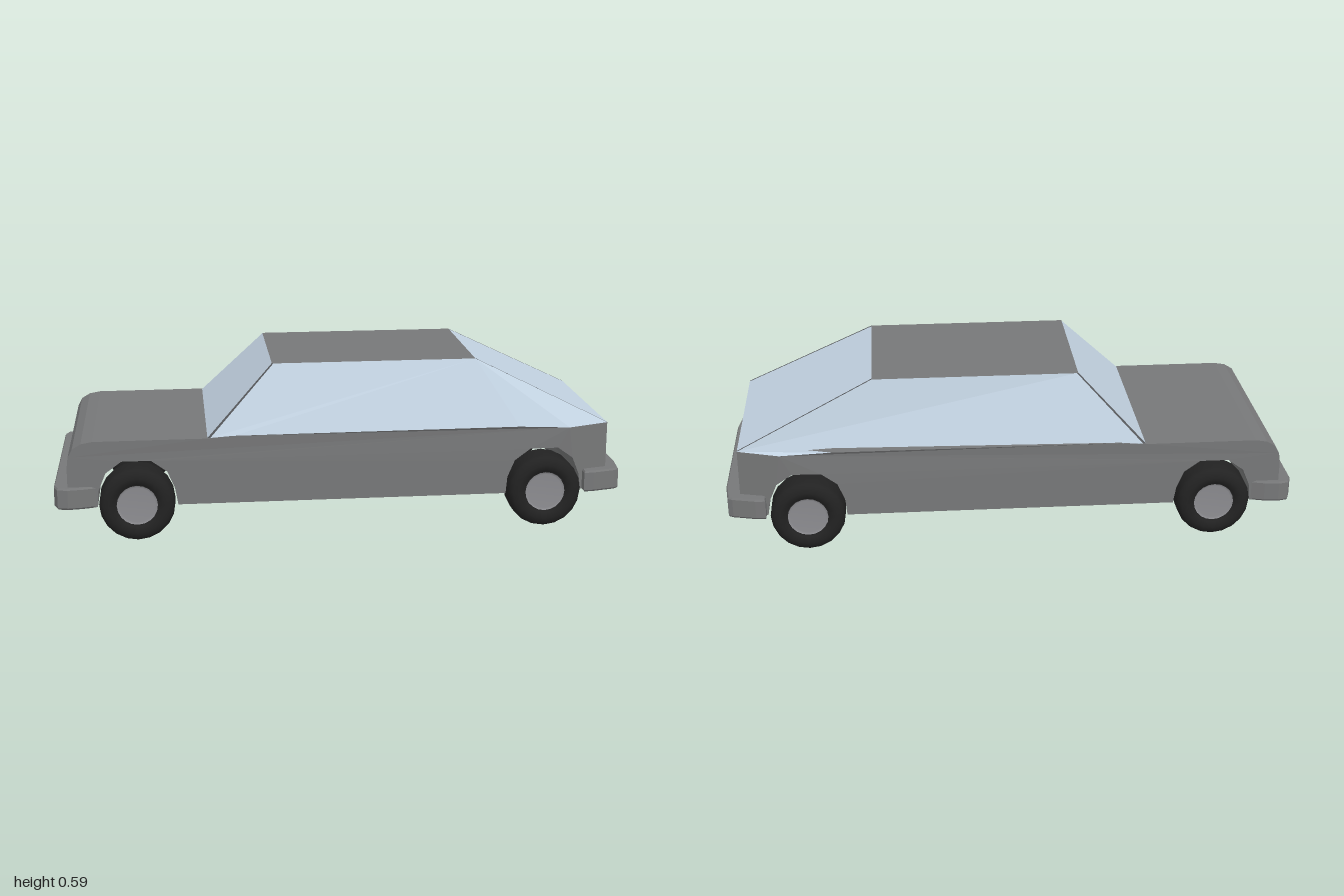
import * as THREE from 'three';

const mat = (color, opts = {}) => new THREE.MeshStandardMaterial({ color, ...opts });

// Half width of the body along its length: the tail tapers in
function halfWidth(x) {
  if (x < 0.62) return 0.355;
  if (x < 0.8) return 0.355 - (x - 0.62) / 0.18 * 0.006;
  return 0.349 - (x - 0.8) / 0.145 * 0.037;
}

// Flat panels, each given by its corners in order around the edge
function panels(name, list, material) {
  const pos = [];
  for (const p of list)
    for (let i = 1; i < p.length - 1; i++) pos.push(...p[0], ...p[i], ...p[i + 1]);
  const g = new THREE.BufferGeometry();
  g.setAttribute('position', new THREE.Float32BufferAttribute(pos, 3));
  g.computeVertexNormals();
  const m = new THREE.Mesh(g, material);
  m.name = name;
  return m;
}

const toShape = pts => new THREE.Shape(pts.map(p => new THREE.Vector2(p[0], p[1])));

export function createModel() {
  const car = new THREE.Group();
  car.name = 'car';
  const paint = mat(0x777879, { flatShading: true, side: THREE.DoubleSide });
  const glass = mat(0xc3d3e2, { flatShading: true, side: THREE.DoubleSide });
  const trim = mat(0x55575a, { flatShading: true, side: THREE.DoubleSide });
  const rubber = mat(0x222222);
  const metal = mat(0x8c8c90);
  const axles = [-0.715, 0.71];

  // Lower body: side profile with wheel arches cut across the full width
  const arch = [[-0.135, 0.12], [-0.13, 0.18], [-0.105, 0.24], [-0.05, 0.28],
    [0.05, 0.28], [0.105, 0.24], [0.13, 0.18], [0.14, 0.12]];
  const profile = [[-0.95, 0.12]];
  for (const ax of axles) for (const [x, y] of arch) profile.push([ax + x, y]);
  profile.push([0.945, 0.12], [0.945, 0.357], [0.8, 0.352], [0.62, 0.362], [-0.38, 0.36],
    [-0.47, 0.353], [-0.86, 0.353], [-0.9, 0.346], [-0.93, 0.328], [-0.945, 0.3], [-0.95, 0.26]);
  const bodyGeo = new THREE.ExtrudeGeometry(toShape(profile), { depth: 1, bevelEnabled: false });
  const p = bodyGeo.attributes.position;
  for (let i = 0; i < p.count; i++) p.setZ(i, (p.getZ(i) < 0.5 ? -1 : 1) * halfWidth(p.getX(i)));
  bodyGeo.computeVertexNormals();
  const body = new THREE.Mesh(bodyGeo, paint);
  body.name = 'body';
  car.add(body);

  // Cabin: roof, windscreen, rear window, side windows and thin corner pillars
  const roofY = 0.588;
  car.add(panels('roof', [[[-0.24, roofY, 0.258], [0.475, roofY, 0.258],
    [0.475, roofY, -0.258], [-0.24, roofY, -0.258]]], paint));
  car.add(panels('windscreen', [[[-0.47, 0.353, -0.348], [-0.47, 0.353, 0.348],
    [-0.24, roofY, 0.252], [-0.24, roofY, -0.252]]], glass));
  car.add(panels('rearWindow', [[[0.945, 0.357, 0.305], [0.945, 0.357, -0.305],
    [0.475, roofY, -0.25], [0.475, roofY, 0.25]]], glass));
  for (const s of [1, -1]) {
    const side = s > 0 ? 'left' : 'right';
    const flip = list => list.map(q => {
      const r = q.map(([x, y, z]) => [x, y, z * s]);
      return s > 0 ? r : r.reverse();
    });
    car.add(panels(side + 'Window', flip([[[0.475, roofY, 0.258], [-0.235, roofY, 0.258],
      [-0.46, 0.355, 0.355], [-0.38, 0.36, 0.355], [0.62, 0.362, 0.355],
      [0.8, 0.352, 0.349], [0.945, 0.357, 0.312]]]), glass));
    car.add(panels(side + 'Pillars', flip([
      [[-0.47, 0.353, 0.348], [-0.46, 0.355, 0.355], [-0.235, roofY, 0.258], [-0.24, roofY, 0.252]],
      [[0.945, 0.357, 0.312], [0.945, 0.357, 0.305], [0.475, roofY, 0.25], [0.475, roofY, 0.258]],
    ]), trim));
  }

  // Bumpers: plan outlines mirrored across the middle, wrapping the corners
  const bumpers = {
    frontBumper: [[-0.855, 0.355], [-0.9, 0.367], [-0.95, 0.373], [-0.985, 0.364], [-0.998, 0.33]],
    rearBumper: [[0.855, 0.366], [0.89, 0.364], [0.97, 0.344], [0.987, 0.334], [0.998, 0.25]],
  };
  for (const [name, half] of Object.entries(bumpers)) {
    const outline = [...half, ...half.map(([x, z]) => [x, -z]).reverse()];
    const g = new THREE.ExtrudeGeometry(toShape(outline), {
      depth: 0.064, bevelEnabled: true, bevelSize: 0.004, bevelOffset: -0.004,
      bevelThickness: 0.006, bevelSegments: 1 });
    g.rotateX(-Math.PI / 2).translate(0, 0.124, 0);
    const m = new THREE.Mesh(g, paint);
    m.name = name;
    car.add(m);
  }

  // Wheels: rounded tyre with a slightly recessed hub on the outer face
  const tyreGeo = new THREE.LatheGeometry([[0, -0.065], [0.095, -0.065], [0.115, -0.059],
    [0.125, -0.05], [0.13, -0.035], [0.13, 0.035], [0.125, 0.05], [0.115, 0.059],
    [0.098, 0.065], [0.075, 0.062], [0.07, 0.046], [0, 0.046]]
    .map(q => new THREE.Vector2(...q)), 20).rotateX(Math.PI / 2);
  const hubGeo = new THREE.LatheGeometry([[0.07, 0.054], [0.062, 0.05], [0, 0.05]]
    .map(q => new THREE.Vector2(...q)), 20).rotateX(Math.PI / 2);
  axles.forEach((x, i) => {
    for (const s of [1, -1]) {
      const wheel = new THREE.Group();
      wheel.name = (i ? 'rear' : 'front') + (s > 0 ? 'Near' : 'Far') + 'Wheel';
      const tyre = new THREE.Mesh(tyreGeo, rubber);
      tyre.name = 'tyre';
      const hub = new THREE.Mesh(hubGeo, metal);
      hub.name = 'hub';
      wheel.add(tyre, hub);
      wheel.position.set(x, 0.131, s * 0.329);
      if (s < 0) wheel.rotation.y = Math.PI;
      car.add(wheel);
    }
  });
  return car;
}
